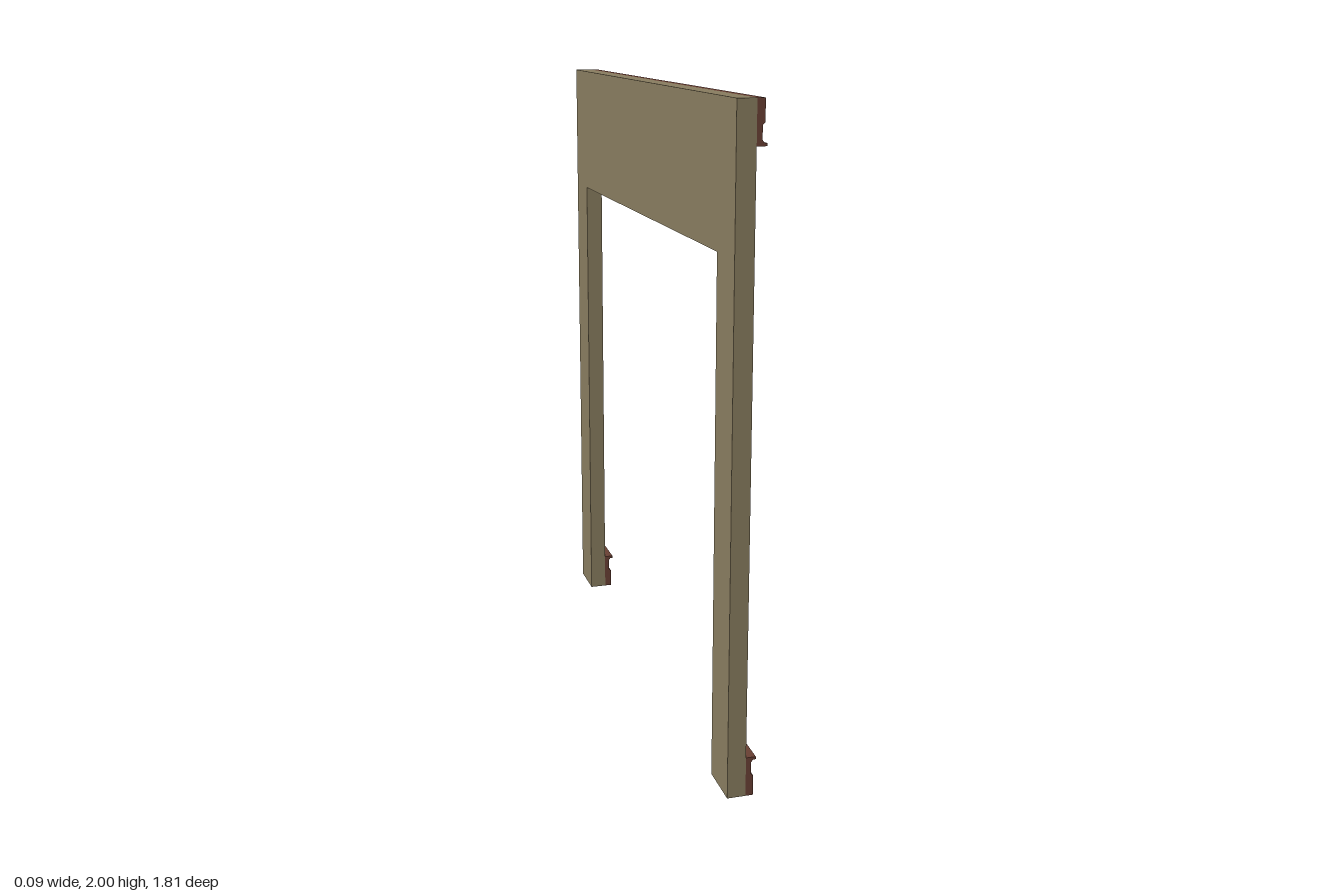
import * as THREE from 'three';

const HALF = 0.907, OPEN = 0.76, OPEN_H = 1.58;
const WALL_BACK = -0.043, WALL_FACE = 0.013;

const plaster = new THREE.MeshStandardMaterial({ name: 'olive plaster', color: 0x877b5e });
const wood = new THREE.MeshStandardMaterial({ name: 'brown wood', color: 0x683f33 });

// moulding outline: x = projection, y = height above the floor
const PROFILE = [
  [WALL_FACE, 0], [0.036, 0], [0.036, 0.062], [0.029, 0.068], [0.029, 0.106],
  [0.034, 0.113], [0.043, 0.114], [0.043, 0.122], [WALL_FACE, 0.122],
];

function extrude(points, depth) {
  const shape = new THREE.Shape(points.map(([x, y]) => new THREE.Vector2(x, y)));
  return new THREE.ExtrudeGeometry(shape, { depth, bevelEnabled: false });
}

// moulding running from z0 to z1
function moulding(name, points, z0, z1) {
  const mesh = new THREE.Mesh(extrude(points, z1 - z0), wood);
  mesh.name = name;
  mesh.position.z = z0;
  return mesh;
}

export function createModel() {
  const group = new THREE.Group();
  group.name = 'doorwayWall';

  // wall with a tall opening down to the floor
  const wall = new THREE.Mesh(extrude([
    [-HALF, 0], [-OPEN, 0], [-OPEN, OPEN_H], [OPEN, OPEN_H],
    [OPEN, 0], [HALF, 0], [HALF, 2], [-HALF, 2],
  ], WALL_FACE - WALL_BACK), plaster);
  wall.name = 'wall';
  wall.rotation.y = -Math.PI / 2;
  wall.position.x = WALL_FACE;
  group.add(wall);

  // crown moulding is the skirting profile turned upside down
  group.add(moulding('crownMoulding', PROFILE.map(([x, y]) => [x, 2 - y * 1.02]), -HALF, HALF));

  // skirting at the foot of each pier
  group.add(moulding('frontSkirting', PROFILE, OPEN, HALF));
  group.add(moulding('backSkirting', PROFILE, -HALF, -OPEN));

  return group;
}
